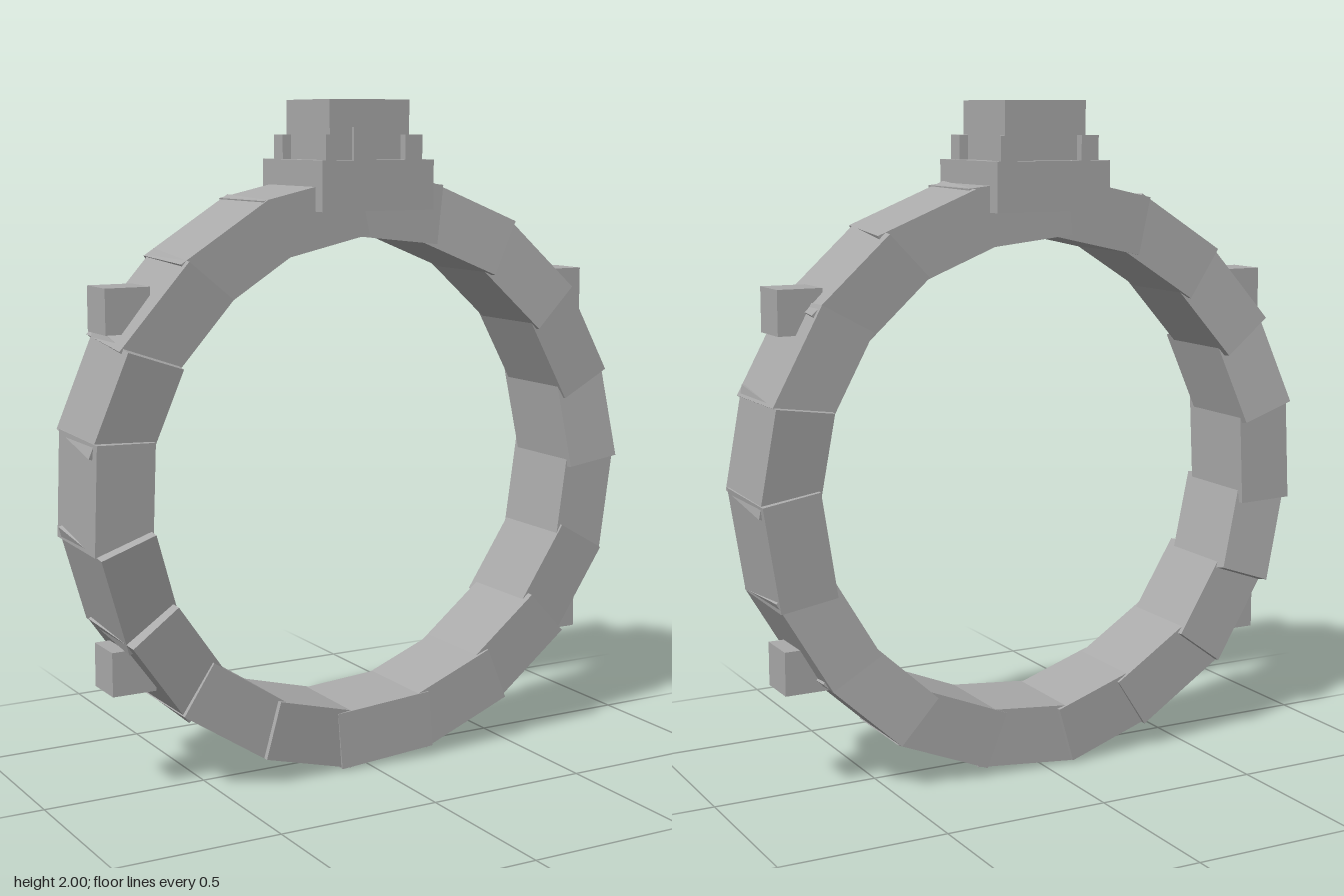
import * as THREE from 'three';

export function createModel() {
  const model = new THREE.Group();
  model.name = 'segmentedRing';
  const stone = new THREE.MeshStandardMaterial({ color: 0xaaaaaa });
  stone.name = 'stone grey';

  const box = (name, size, pos, parent = model) => {
    const mesh = new THREE.Mesh(new THREE.BoxGeometry(...size), stone);
    mesh.name = name;
    mesh.position.set(...pos);
    parent.add(mesh);
    return mesh;
  };

  // Ring of overlapping blocks, each twisted a little about its own radius
  const ring = new THREE.Group();
  ring.name = 'ring';
  ring.position.set(0, 0.896, -0.005);
  model.add(ring);
  const twists = [0.03, 0.13, 0.1, 0, 0.12, 0.03, -0.08, -0.1, 0, -0.03,
    0.1, 0, 0.12, 0.18, 0.03, 0.17, 0.1, 0.05, 0];
  const step = (Math.PI * 2) / twists.length;
  twists.forEach((twist, i) => {
    const angle = THREE.MathUtils.degToRad(84.5) - i * step;
    const r = 0.79;
    const block = box('ringBlock', [0.175, 0.315, 0.285],
      [r * Math.cos(angle), r * Math.sin(angle), 0], ring);
    block.rotation.set(-twist, 0, angle + (i % 2 ? 0.015 : -0.015), 'ZXY');
  });

  // Square studs on the outer rim
  for (const x of [-0.74, 0.735])
    for (const y of [0.385, 1.418])
      box('rimStud', [0.135, 0.13, 0.13], [x, y, -0.005]);

  // Setting on top: collar, block, front plate and corner prongs
  box('collar', [0.37, 0.145, 0.37], [-0.005, 1.755, -0.005]);
  box('topBlock', [0.265, 0.18, 0.265], [-0.005, 1.91, -0.005]);
  box('frontPlate', [0.12, 0.095, 0.014], [-0.005, 1.873, 0.133]);
  for (const sx of [-1, 1])
    for (const sz of [-1, 1])
      box('prong', [0.057, 0.075, 0.057],
        [-0.005 + sx * 0.132, 1.862, -0.005 + sz * 0.132]);

  return model;
}
